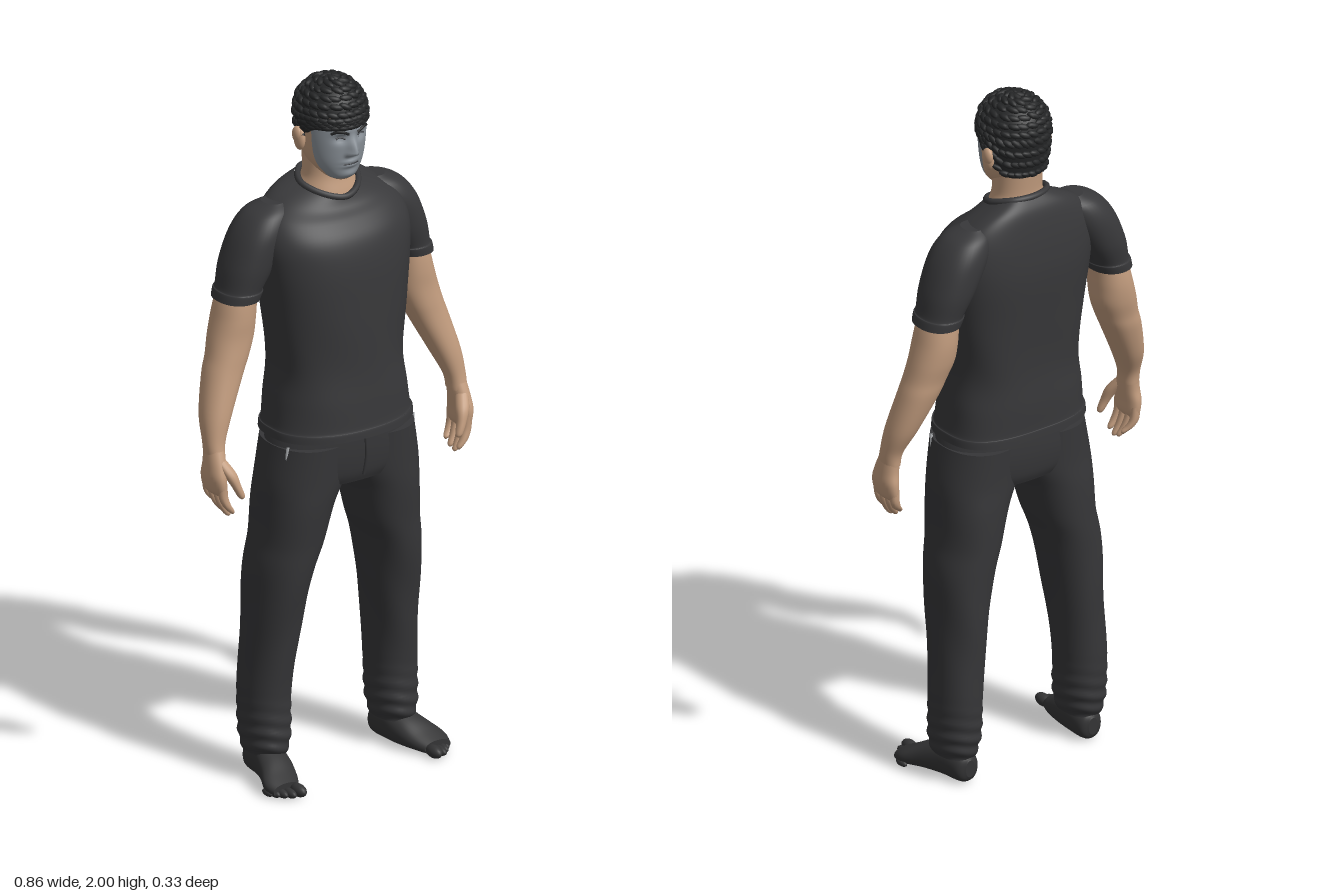
import * as THREE from 'three';
import { mergeGeometries } from 'three/addons/utils/BufferGeometryUtils.js';

const mat = (name, color) => Object.assign(new THREE.MeshStandardMaterial({ color }), { name });
const mats = {
  cloth: mat('shirt charcoal', 0x38383a),
  pants: mat('trouser charcoal', 0x363638),
  foot: mat('foot charcoal', 0x343435),
  skin: mat('skin', 0xc29c7e),
  face: mat('grey face', 0x8b9299),
  line: mat('face lines', 0x3a3c40),
  hair: mat('black hair', 0x242526),
  zip: mat('silver zip', 0xb4b7ba),
};
const smooth = THREE.MathUtils.smoothstep;
const bell = (d, s) => Math.exp(-(d / s) * (d / s));

// Smooth skin over horizontal sections [x, y, z, radiusX, radiusZ, tilt]
function loft(rows, { n = 40, steps = 6, front = 2.2, back = 2.2, ripple, pick, capTop = true, capBottom = true } = {}) {
  rows = rows.map(r => [...r, 0].slice(0, 6)).sort((a, b) => a[1] - b[1]);
  const pos = [], main = [], second = [], last = (rows.length - 1) * steps, info = [];
  const at = k => rows[Math.max(0, Math.min(rows.length - 1, k))];
  const cr = (a, b, c, d, t) => b + 0.5 * t * (c - a + t * (2 * a - 5 * b + 4 * c - d + t * (3 * (b - c) + d - a)));
  const addRing = s => {
    for (let j = 0; j < n; j++) {
      const a = j / n * Math.PI * 2, e = 2 / (Math.cos(a) >= 0 ? front : back);
      const k = ripple ? 1 + ripple(s[1], a) : 1;
      const dx = Math.sign(Math.sin(a)) * Math.abs(Math.sin(a)) ** e * s[3] * k;
      const dz = Math.sign(Math.cos(a)) * Math.abs(Math.cos(a)) ** e * s[4] * k;
      pos.push(s[0] + dx, s[1] + s[5] * dz, s[2] + dz);
    }
  };
  for (let i = 0; i <= last; i++) {
    const k = Math.min(Math.floor(i / steps), rows.length - 2), t = i / steps - k;
    const s = at(k).map((_, c) => cr(at(k - 1)[c], at(k)[c], at(k + 1)[c], at(k + 2)[c], t));
    info.push(s);
    addRing(s);
  }
  for (let i = 0; i < last; i++) for (let j = 0; j < n; j++) {
    const a = i * n + j, b = i * n + (j + 1) % n;
    const list = pick && pick(info[i][1], (j + 0.5) / n * Math.PI * 2) ? second : main;
    list.push(a, b, b + n, a, b + n, a + n);
  }
  for (const [on, s, up] of [[capBottom, info[0], false], [capTop, info[last], true]]) {
    if (!on) continue;
    const o = pos.length / 3;
    addRing(s);
    pos.push(s[0], s[1], s[2]);
    for (let j = 0; j < n; j++) {
      const a = o + j, b = o + (j + 1) % n;
      main.push(...(up ? [a, b, o + n] : [b, a, o + n]));
    }
  }
  const g = new THREE.BufferGeometry();
  g.setAttribute('position', new THREE.Float32BufferAttribute(pos, 3));
  g.setIndex([...main, ...second]);
  if (pick) { g.addGroup(0, main.length, 0); g.addGroup(main.length, second.length, 1); }
  g.computeVertexNormals();
  return g;
}
const blob = (x, y, z, rx, ry, rz) => new THREE.SphereGeometry(1, 18, 12).scale(rx, ry, rz).translate(x, y, z);
const tube = (pts, r, closed = false) => new THREE.TubeGeometry(
  new THREE.CatmullRomCurve3(pts.map(p => new THREE.Vector3(...p)), closed), closed ? 80 : 16, r, 8, closed);

export function createModel() {
  const root = new THREE.Group();
  root.name = 'standingMan';
  const add = (name, geometry, material) => {
    const m = new THREE.Mesh(geometry, material);
    m.name = name;
    root.add(m);
  };

  // Shirt body with soft folds, hem and collar
  add('shirtBody', loft([
    [0, 1.0, 0.003, 0.217, 0.153], [0, 1.022, 0.003, 0.215, 0.152], [0, 1.028, 0.002, 0.209, 0.148],
    [0, 1.1, 0, 0.2, 0.147], [0, 1.2, -0.002, 0.188, 0.143], [0, 1.35, -0.007, 0.205, 0.147],
    [0, 1.48, -0.014, 0.222, 0.149], [0, 1.56, -0.021, 0.226, 0.139], [0, 1.62, -0.033, 0.205, 0.117, -0.1],
    [0, 1.66, -0.043, 0.155, 0.094, -0.25], [0, 1.69, -0.04, 0.088, 0.076, -0.33],
  ], { n: 72, front: 2.2, back: 2.9, capTop: false,
    ripple: (y, a) => 0.008 * Math.sin(5 * a + y * 16) * bell(y - 1.2, 0.14) }), mats.cloth);
  add('collar', tube([[0, 1.662, 0.04], [0.055, 1.674, 0.016], [0.088, 1.697, -0.045], [0.055, 1.712, -0.1],
    [0, 1.714, -0.115], [-0.055, 1.712, -0.1], [-0.088, 1.697, -0.045], [-0.055, 1.674, 0.016]], 0.009, true), mats.cloth);

  // Hips
  add('trouserSeat', loft([
    [0, 0.86, -0.004, 0.19, 0.115], [0, 0.89, -0.004, 0.222, 0.126], [0, 0.95, -0.003, 0.222, 0.132], [0, 1.03, 0, 0.2, 0.13],
  ], { n: 56 }), mats.pants);
  add('fly', tube([[0, 0.99, 0.132], [0.003, 0.94, 0.131], [0, 0.88, 0.122]], 0.004), mats.pants);

  for (const s of [1, -1]) {
    const side = s > 0 ? 'left' : 'right';
    const limb = (rows, opt) => loft(rows.map(([x, ...r]) => [x * s, ...r]), opt);

    add(side + 'Sleeve', limb([
      [0.287, 1.405, -0.068, 0.059, 0.073], [0.279, 1.428, -0.068, 0.061, 0.075], [0.276, 1.436, -0.068, 0.058, 0.072],
      [0.25, 1.5, -0.068, 0.07, 0.082], [0.213, 1.58, -0.066, 0.075, 0.083],
      [0.185, 1.632, -0.066, 0.062, 0.066], [0.165, 1.657, -0.066, 0.03, 0.035],
    ]), mats.cloth);

    // Bare arm down to the wrist
    add(side + 'Arm', limb([
      [0.27, 1.46, -0.07, 0.045, 0.055], [0.285, 1.4, -0.07, 0.053, 0.062], [0.294, 1.35, -0.07, 0.058, 0.064],
      [0.304, 1.3, -0.068, 0.062, 0.061], [0.32, 1.25, -0.061, 0.059, 0.057], [0.34, 1.2, -0.055, 0.055, 0.055],
      [0.378, 1.1, -0.034, 0.042, 0.047], [0.397, 1.03, -0.015, 0.029, 0.034], [0.4, 0.99, -0.008, 0.025, 0.035],
    ]), mats.skin);

    // Palm, four curled fingers and thumb
    const fingers = [[-0.035, 0.84], [-0.012, 0.824], [0.013, 0.818], [0.036, 0.83]].map(([z, tip]) => limb([
      [0.404, 0.92, z, 0.013, 0.013], [0.402, 0.885, z, 0.013, 0.012], [0.392, (0.885 + tip) / 2, z * 0.95 + 0.004, 0.012, 0.0115],
      [0.378, tip + 0.008, z * 0.85 + 0.008, 0.009, 0.009], [0.374, tip, z * 0.85 + 0.009, 0.003, 0.003],
    ], { n: 14, steps: 4 }));
    const palm = limb([
      [0.4, 1.01, -0.01, 0.024, 0.033], [0.404, 0.97, -0.002, 0.025, 0.041], [0.407, 0.935, 0, 0.024, 0.049],
      [0.405, 0.9, 0, 0.019, 0.047], [0.403, 0.885, 0, 0.01, 0.038],
    ], { n: 28 });
    const thumb = limb([
      [0.4, 0.985, 0.015, 0.016, 0.018], [0.385, 0.95, 0.04, 0.018, 0.019], [0.372, 0.915, 0.054, 0.013, 0.014],
      [0.36, 0.885, 0.06, 0.01, 0.01], [0.358, 0.876, 0.06, 0.003, 0.003],
    ], { n: 16 });
    add(side + 'Hand', mergeGeometries([palm, thumb, ...fingers]), mats.skin);

    // Trouser leg, gathering into folds at the cuff
    add(side + 'TrouserLeg', limb([
      [0.11, 0.98, -0.002, 0.108, 0.128], [0.12, 0.88, -0.005, 0.117, 0.125], [0.14, 0.8, -0.01, 0.102, 0.124],
      [0.157, 0.7, -0.016, 0.09, 0.118], [0.18, 0.6, -0.023, 0.081, 0.111], [0.198, 0.4, -0.038, 0.068, 0.092],
      [0.208, 0.25, -0.047, 0.066, 0.082], [0.209, 0.15, -0.045, 0.065, 0.08], [0.21, 0.105, -0.042, 0.06, 0.077],
      [0.21, 0.075, -0.042, 0.052, 0.068],
    ], { n: 48, steps: 10, ripple: (y, a) => 0.035 * Math.sin(y * 150 + 1.6 * Math.sin(a * 2)) * smooth(0.3 - y, 0.02, 0.17)
      + 0.014 * Math.sin(3 * a * s + y * 24) * bell(y - 0.5, 0.25) }), mats.pants);
    add(side + 'PocketZip', tube([0.99, 0.95, 0.9, 0.87].map((y, i) =>
      [s * (0.207 + 0.002 * i), y, 0.062 - 0.004 * i]), 0.004), mats.zip);

    // Foot lofted heel to ball, with five toes
    const sole = limb([
      [0.206, -0.112, -0.045, 0.015, 0.025], [0.207, -0.095, -0.045, 0.036, 0.042], [0.212, -0.03, -0.052, 0.045, 0.052],
      [0.225, 0.03, -0.042, 0.052, 0.042], [0.244, 0.08, -0.028, 0.055, 0.028], [0.25, 0.115, -0.019, 0.042, 0.019],
    ], { n: 32 }).rotateX(Math.PI / 2);
    const toes = [[0.224, 0.134, 0.018, 0.031], [0.248, 0.127, 0.013, 0.028], [0.265, 0.114, 0.012, 0.026],
      [0.279, 0.1, 0.011, 0.024], [0.29, 0.084, 0.01, 0.022]].map(([x, z, r, l]) => blob(s * x, r, z, r * 0.95, r, l));
    add(side + 'Foot', sole, mats.foot);
    add(side + 'Toes', mergeGeometries(toes), mats.foot);

    add(side + 'Ear', mergeGeometries([blob(s * 0.094, 1.828, -0.042, 0.013, 0.034, 0.021),
      blob(s * 0.098, 1.838, -0.046, 0.012, 0.024, 0.019)]), mats.skin);
  }

  add('neck', loft([
    [0, 1.64, -0.038, 0.086, 0.074, -0.33], [0, 1.685, -0.042, 0.079, 0.069, -0.3],
    [0, 1.72, -0.046, 0.069, 0.06], [0, 1.79, -0.046, 0.068, 0.066],
  ]), mats.skin);

  // Head, with the features pushed out of the front
  const head = loft([
    [0, 1.714, 0.012, 0.024, 0.028], [0, 1.728, 0.006, 0.046, 0.049], [0, 1.76, -0.013, 0.071, 0.075],
    [0, 1.8, -0.024, 0.083, 0.092], [0, 1.86, -0.028, 0.088, 0.1], [0, 1.92, -0.03, 0.086, 0.096],
    [0, 1.96, -0.03, 0.06, 0.07], [0, 1.98, -0.03, 0.02, 0.02],
  ], { n: 128, steps: 10, pick: (y, a) => Math.cos(a) > 0.24 && y > 1.72 && y < 1.9 });
  const p = head.attributes.position;
  for (let i = 0; i < p.count; i++) {
    const x = p.getX(i), y = p.getY(i), z = p.getZ(i);
    if (z < 0) continue;
    const ax = Math.abs(x), bridge = y > 1.801 ? 1 - smooth(y, 1.8, 1.862) : bell(y - 1.801, 0.008);
    p.setZ(i, z + smooth(z, 0, 0.04) * (0.026 * bell(x, 0.013) * bridge
      + 0.007 * bell(ax - 0.013, 0.007) * bell(y - 1.799, 0.008)
      - 0.01 * bell(ax - 0.032, 0.018) * bell(y - 1.845, 0.012)
      + 0.005 * bell(ax - 0.03, 0.024) * bell(y - 1.866, 0.008)
      + 0.006 * bell(x, 0.024) * (bell(y - 1.774, 0.006) + bell(y - 1.761, 0.006))
      + 0.004 * bell(x, 0.02) * bell(y - 1.735, 0.01)));
  }
  head.computeVertexNormals();
  add('head', head, [mats.skin, mats.face]);

  // Brows, eyes and mouth laid on the face
  const onFace = (x, y) => {
    let best = 1, z = 0;
    for (let i = 0; i < p.count; i++) {
      const d = Math.hypot(p.getX(i) - x, p.getY(i) - y);
      if (p.getZ(i) > 0 && d < best) { best = d; z = p.getZ(i); }
    }
    return [x, y, z + 0.001];
  };
  for (const s of [1, -1]) {
    add('brow', tube([[0.014, 1.858], [0.03, 1.867], [0.046, 1.869], [0.058, 1.862]].map(([x, y]) => onFace(s * x, y)), 0.0038), mats.hair);
    add('eye', tube([[0.02, 1.843], [0.032, 1.848], [0.046, 1.845]].map(([x, y]) => onFace(s * x, y)), 0.0026), mats.line);
  }
  add('mouth', tube([-0.024, -0.012, 0, 0.012, 0.024].map(x => onFace(x, 1.7675)), 0.0018), mats.line);

  // Hair: a cap down to the hairline, covered in swept tufts
  const hairAt = (t, a) => {
    const line = 1.778 + 0.098 * smooth(Math.cos(a), -0.7, 0.5);
    const top = 1.988, split = 0.62, mid = 1.9;
    const y = t < split ? mid + (top - mid) * Math.cos(t / split * Math.PI / 2) : mid + (line - mid) * (t - split) / (1 - split);
    const r = t < split ? Math.sin(t / split * Math.PI / 2) : 1 - 0.13 * ((mid - y) / 0.12) ** 2;
    return new THREE.Vector3(0.093 * r * Math.sin(a), y, -0.031 + 0.102 * r * Math.cos(a));
  };
  const cap = new THREE.PlaneGeometry(1, 1, 48, 20), cp = cap.attributes.position, uv = cap.attributes.uv;
  for (let i = 0; i < cp.count; i++) {
    const v = hairAt(1 - uv.getY(i), uv.getX(i) * Math.PI * 2);
    cp.setXYZ(i, v.x, v.y, v.z);
  }
  cap.computeVertexNormals();
  add('hairCap', cap, mats.hair);
  let seed = 7;
  const rand = () => (seed = seed * 16807 % 2147483647) / 2147483647;
  const tufts = [], centre = new THREE.Vector3(0, 1.88, -0.031);
  for (let row = 0; row < 10; row++) {
    const t = 0.05 + row * 0.102, count = Math.round(5 + 23 * Math.min(1, t * 1.5));
    for (let k = 0; k < count; k++) {
      const a = (k + 0.5 * (row % 2) + 0.4 * rand()) / count * Math.PI * 2;
      const pt = hairAt(t, a), out = pt.clone().sub(centre).normalize();
      const along = hairAt(t + 0.03, a + 0.12 + 0.2 * rand()).sub(pt).normalize();
      const across = new THREE.Vector3().crossVectors(out, along).normalize();
      along.crossVectors(across, out);
      const g = new THREE.SphereGeometry(1, 8, 6).scale(0.0095, 0.0075 + 0.003 * rand(), 0.02);
      tufts.push(g.applyMatrix4(new THREE.Matrix4().makeBasis(across, out, along).setPosition(pt)));
    }
  }
  add('hairTufts', mergeGeometries(tufts), mats.hair);
  return root;
}
